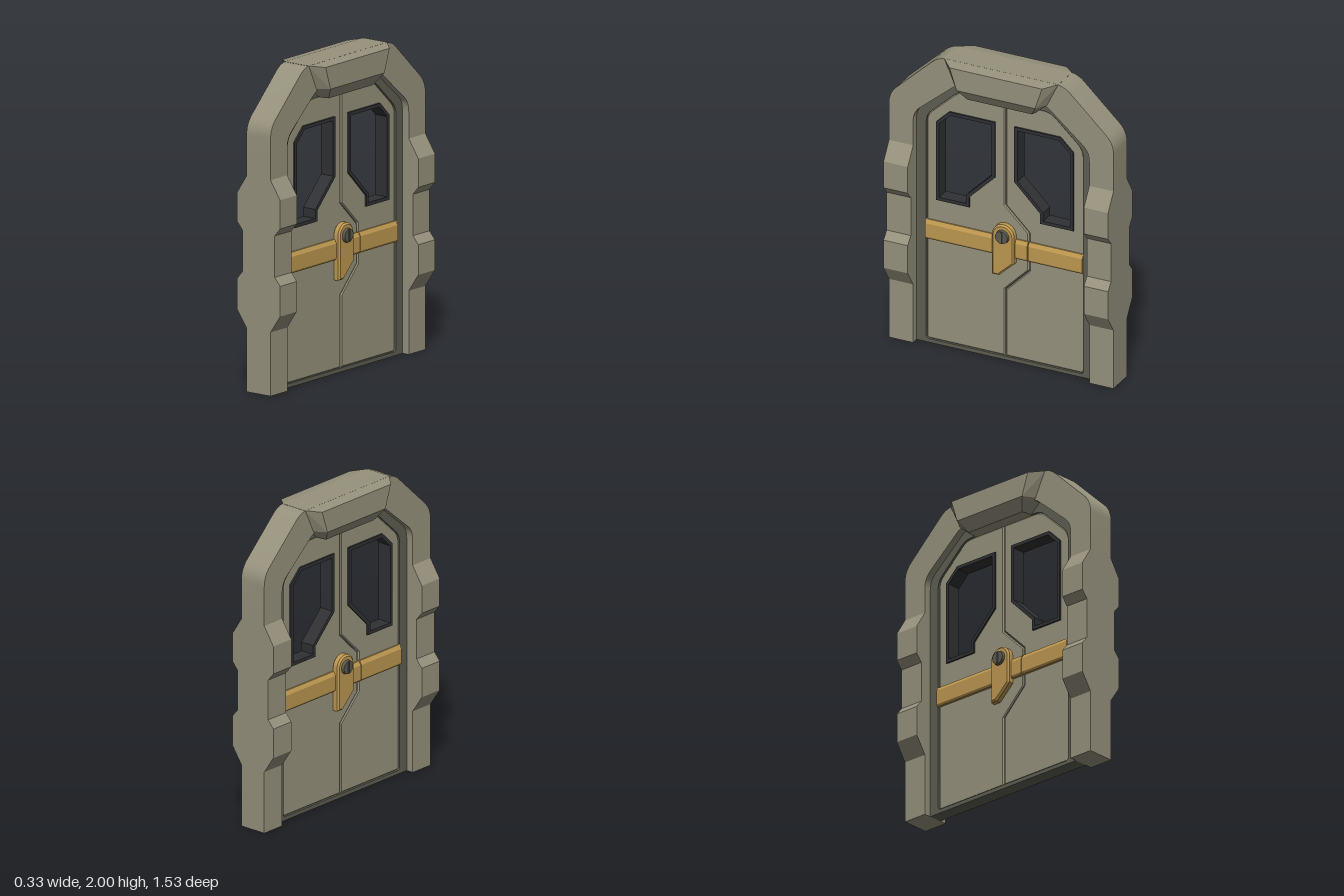
import * as THREE from 'three';
import { toCreasedNormals } from 'three/addons/utils/BufferGeometryUtils.js';
import { ConvexGeometry } from 'three/addons/geometries/ConvexGeometry.js';

const paint = (color) => new THREE.MeshStandardMaterial({ color });
const STONE = paint(0x96927d), DARK = paint(0x5f5e52), TRIM = paint(0x303134);
const BRASS = paint(0xbd9850), STEEL = paint(0x5c5b50);

function add(parent, name, geometry, material) {
  const mesh = new THREE.Mesh(geometry, material);
  mesh.name = name;
  parent.add(mesh);
  return mesh;
}

// Closed outline from [x, y, cornerRadius] points; radius trims the corner with a curve
function outline(points) {
  const path = new THREE.Shape();
  const n = points.length;
  const at = (i) => new THREE.Vector2(points[(i + n) % n][0], points[(i + n) % n][1]);
  for (let i = 0; i < n; i++) {
    const p = at(i), r = points[i][2] || 0;
    const a = p.clone().add(at(i - 1).sub(p).setLength(r));
    const b = p.clone().add(at(i + 1).sub(p).setLength(r));
    if (i === 0) path.moveTo(a.x, a.y); else path.lineTo(a.x, a.y);
    if (r) path.quadraticCurveTo(p.x, p.y, b.x, b.y);
  }
  path.closePath();
  return path;
}

// Moves every edge of a counter-clockwise polygon inward by d
function inset(points, d) {
  const n = points.length;
  const normal = (i) => {
    const a = points[(i + n) % n], b = points[(i + 1) % n];
    const l = Math.hypot(b[0] - a[0], b[1] - a[1]);
    return [-(b[1] - a[1]) / l, (b[0] - a[0]) / l];
  };
  return points.map((p, i) => {
    const m = normal(i - 1 + n), q = normal(i);
    const k = d / (1 + m[0] * q[0] + m[1] * q[1]);
    return [p[0] + k * (m[0] + q[0]), p[1] + k * (m[1] + q[1])];
  });
}

// Extrudes between two depths, with an optional chamfer kept inside the outline
function slab(shape, from, to, bevel = 0) {
  const geometry = new THREE.ExtrudeGeometry(shape, {
    depth: to - from - 2 * bevel, curveSegments: 6, bevelEnabled: bevel > 0,
    bevelSize: bevel, bevelThickness: bevel, bevelOffset: -bevel, bevelSegments: 1,
  });
  geometry.translate(0, 0, from + bevel);
  return toCreasedNormals(geometry, 0.4);
}

const mirrorX = (points) => points.map(([x, ...rest]) => [-x, ...rest]).reverse();
const arch = (half) => [...half, ...mirrorX(half)];

const DOOR_HALF = [[0.535, 0.025, 0.02], [0.535, 1.56, 0.05], [0.31, 1.77, 0.05]];
const INNER_HALF = [[0.6, 1.585, 0.06], [0.3, 1.84, 0.05]];
const WINDOW = [[-0.468, 0.99], [-0.241, 0.99], [-0.241, 1.06], [-0.066, 1.235],
  [-0.066, 1.613], [-0.378, 1.613], [-0.468, 1.525]];
const WINDOWS = [WINDOW, mirrorX(WINDOW)];
const SEAM = [[0, 0.025], [0, 0.48], [0.163, 0.645], [0.163, 0.9], [0, 1.06], [0, 1.77]];

// Leaves, strap and latch on one face; local x runs along the door, z points outward
function doorFace() {
  const face = new THREE.Group();
  face.name = 'doorFace';

  const gap = 0.003;
  const left = [[-0.535, 0.025, 0.02], ...SEAM.map(([x, y]) => [x - gap, y]),
    [-0.31, 1.77, 0.05], [-0.535, 1.56, 0.05]];
  const right = [[0.535, 0.025, 0.02], [0.535, 1.56, 0.05], [0.31, 1.77, 0.05],
    ...SEAM.map(([x, y]) => [x + gap, y]).reverse()];
  [left, right].forEach((points, i) => {
    const shape = outline(points);
    shape.holes.push(outline(inset(WINDOWS[i], 0.006)));
    add(face, i ? 'rightLeaf' : 'leftLeaf', slab(shape, 0.01, 0.037, 0.007), STONE);
  });

  // Chamfered strap, split where the seam crosses it
  const profile = outline([[0.03, 0.715], [0.052, 0.715], [0.06, 0.728],
    [0.06, 0.82], [0.046, 0.845], [0.03, 0.845]]);
  for (const [start, end] of [[-0.535, 0.16], [0.166, 0.535]]) {
    const strap = slab(profile, 0, end - start);
    strap.rotateY(-Math.PI / 2);
    strap.translate(end, 0, 0);
    add(face, 'strap', strap, BRASS);
  }

  // Latch plate with a rounded top and a slanted foot
  const plate = new THREE.Shape();
  plate.moveTo(-0.072, 0.588);
  plate.lineTo(-0.025, 0.588);
  plate.lineTo(0.078, 0.685);
  plate.lineTo(0.078, 0.865);
  plate.absarc(0.003, 0.865, 0.075, 0, Math.PI, false);
  plate.closePath();
  add(face, 'latchPlate', slab(plate, 0.03, 0.082, 0.011), BRASS);

  // Lock knob with a raised key bar
  const knob = new THREE.CylinderGeometry(0.042, 0.048, 0.03, 20);
  knob.rotateX(Math.PI / 2);
  add(face, 'lockKnob', knob, STEEL).position.set(0.003, 0.862, 0.085);
  add(face, 'keyBar', new THREE.BoxGeometry(0.012, 0.07, 0.012), DARK)
    .position.set(0.003, 0.862, 0.101);
  return face;
}

export function createModel() {
  const model = new THREE.Group();
  model.name = 'archedDoor';

  // Buttressed legs: one stepped profile pushed along z
  const legHalf = [[0.093, 0], [0.093, 0.4], [0.167, 0.51], [0.167, 0.7], [0.125, 0.75],
    [0.125, 1.01], [0.167, 1.06], [0.167, 1.24], [0.093, 1.355]];
  const leg = outline(arch(legHalf));
  add(model, 'leftLeg', slab(leg, 0.6, 0.765), STONE);
  add(model, 'rightLeg', slab(leg, -0.765, -0.6), STONE);

  // Keystone block across the top
  const corners = [[0.09, 2, 0.39], [0.167, 1.987, 0.315], [0.167, 1.842, 0.267],
    [0.09, 1.842, 0.315], [0.115, 1.768, 0.22], [0.09, 1.768, 0.23]];
  const hull = [];
  for (const [x, y, z] of corners) {
    for (const sx of [1, -1]) for (const sz of [1, -1]) hull.push(new THREE.Vector3(sx * x, y, sz * z));
  }
  add(model, 'keystone', toCreasedNormals(new ConvexGeometry(hull), 0.1), STONE);

  // Parts drawn in the door's plane, turned to face +x
  const body = new THREE.Group();
  body.name = 'doorBody';
  body.rotation.y = Math.PI / 2;
  model.add(body);

  const archHalf = [[0.765, 1.355], [0.765, 1.68, 0.07], [0.427, 2, 0.06]];
  const archShape = outline([...arch(archHalf),
    [-0.6, 1.355], ...mirrorX(INNER_HALF).reverse(), ...[...INNER_HALF].reverse(), [0.6, 1.355]]);
  add(body, 'archFrame', slab(archShape, -0.093, 0.093), STONE);

  // Recessed jamb and sill around the door
  const jamb = outline(arch([[0.6, 0], ...INNER_HALF]));
  jamb.holes.push(outline(arch(DOOR_HALF)));
  add(body, 'jamb', slab(jamb, -0.045, 0.045), DARK);

  // Inner core seen at the bottom of the seam
  const core = outline(arch(DOOR_HALF));
  for (const w of WINDOWS) core.holes.push(outline(inset(w, 0.006)));
  add(body, 'doorCore', slab(core, -0.014, 0.014), DARK);

  // Window surrounds running through the whole door
  for (const w of WINDOWS) {
    const ring = outline(w);
    ring.holes.push(outline(inset(w, 0.022)));
    add(body, 'windowFrame', slab(ring, -0.047, 0.047), TRIM);
  }

  // The same face on both sides, turned half a circle
  for (const turn of [0, Math.PI]) {
    const face = doorFace();
    face.rotation.y = turn;
    body.add(face);
  }
  return model;
}
